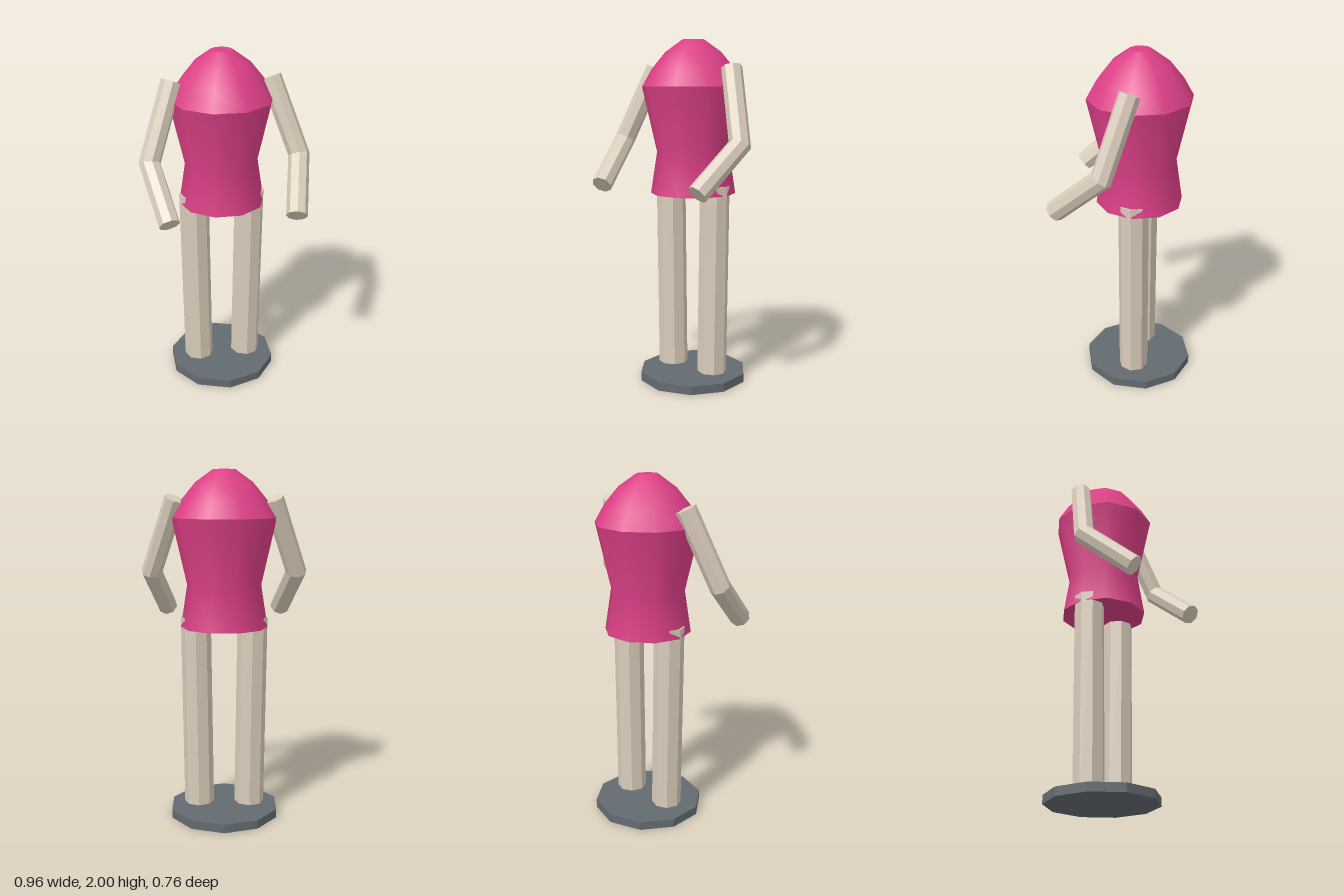
import * as THREE from 'three';

const pink = new THREE.MeshStandardMaterial({ color: 0xdb3f86 });
pink.name = 'pink';
const tan = new THREE.MeshStandardMaterial({ color: 0xd9ccba, flatShading: true });
tan.name = 'tan';
const slate = new THREE.MeshStandardMaterial({ color: 0x636b70, flatShading: true });
slate.name = 'slate';

const AXIS_Z = -0.06; // depth of the body's vertical axis

function mesh(name, geometry, material) {
  const m = new THREE.Mesh(geometry, material);
  m.name = name;
  return m;
}

// Faceted bar through the given points, with mitred joints and capped ends
function limb(points, radius, sides = 8) {
  const p = points.map((q) => new THREE.Vector3(...q));
  const dirs = p.slice(1).map((q, i) => q.clone().sub(p[i]).normalize());
  const u = new THREE.Vector3(0, 0, 1).projectOnPlane(dirs[0]).normalize();
  const v = dirs[0].clone().cross(u);
  let ring = [];
  for (let i = 0; i < sides; i++) {
    const a = (i / sides) * Math.PI * 2;
    ring.push(p[0].clone().addScaledVector(u, radius * Math.cos(a)).addScaledVector(v, radius * Math.sin(a)));
  }
  const out = [];
  const tri = (...corners) => corners.forEach((c) => out.push(c.x, c.y, c.z));
  ring.forEach((a, i) => tri(p[0], ring[(i + 1) % sides], a));
  dirs.forEach((d, k) => {
    // slide the ring along the bar onto the plane of the next joint
    const n = d.clone().add(dirs[k + 1] || d).normalize();
    const next = ring.map((q) => q.clone().addScaledVector(d, p[k + 1].clone().sub(q).dot(n) / d.dot(n)));
    for (let i = 0; i < sides; i++) {
      const j = (i + 1) % sides;
      tri(ring[i], ring[j], next[j]);
      tri(ring[i], next[j], next[i]);
    }
    ring = next;
  });
  ring.forEach((a, i) => tri(p[p.length - 1], a, ring[(i + 1) % sides]));
  const g = new THREE.BufferGeometry();
  g.setAttribute('position', new THREE.Float32BufferAttribute(out, 3));
  g.computeVertexNormals();
  return g;
}

// Ten-sided turned shell with smooth normals
function shell(profile) {
  return new THREE.LatheGeometry(profile.map(([r, y]) => new THREE.Vector2(r, y)), 10, Math.PI / 2);
}

// Flat ten-sided disc facing up or down
function disc(radius, y, up) {
  return new THREE.CircleGeometry(radius, 10).rotateX(up ? -Math.PI / 2 : Math.PI / 2).translate(0, y, 0);
}

export function createModel() {
  const model = new THREE.Group();
  model.name = 'figure';

  // Stand
  const base = mesh('base', new THREE.CylinderGeometry(0.32, 0.32, 0.05, 10), slate);
  base.position.set(0, 0.025, AXIS_Z);
  model.add(base);

  // Torso: waisted body, domed shoulders and flat ends
  const torso = new THREE.Group();
  torso.name = 'torso';
  torso.position.z = AXIS_Z;
  torso.add(
    mesh('body', shell([[0.247, 1.12], [0.21, 1.36], [0.295, 1.735]]), pink),
    mesh('shoulders', shell([[0.295, 1.735], [0.238, 1.835], [0.16, 1.93], [0.062, 2]]), pink),
    mesh('neckCap', disc(0.062, 2, true), pink),
    mesh('hemCap', disc(0.247, 1.12, false), pink),
  );
  model.add(torso);

  // Legs and bent arms, mirrored
  for (const [side, s] of [['left', 1], ['right', -1]]) {
    model.add(mesh(side + 'Leg', limb([[s * 0.147, 0.067, -0.055], [s * 0.162, 1.175, -0.055]], 0.086), tan));
    model.add(mesh(side + 'Arm', limb([
      [s * 0.274, 1.84, -0.054], // shoulder
      [s * 0.418, 1.425, 0.068], // elbow
      [s * 0.346, 1.18, 0.346], // wrist
    ], 0.059), tan));
  }
  return model;
}
